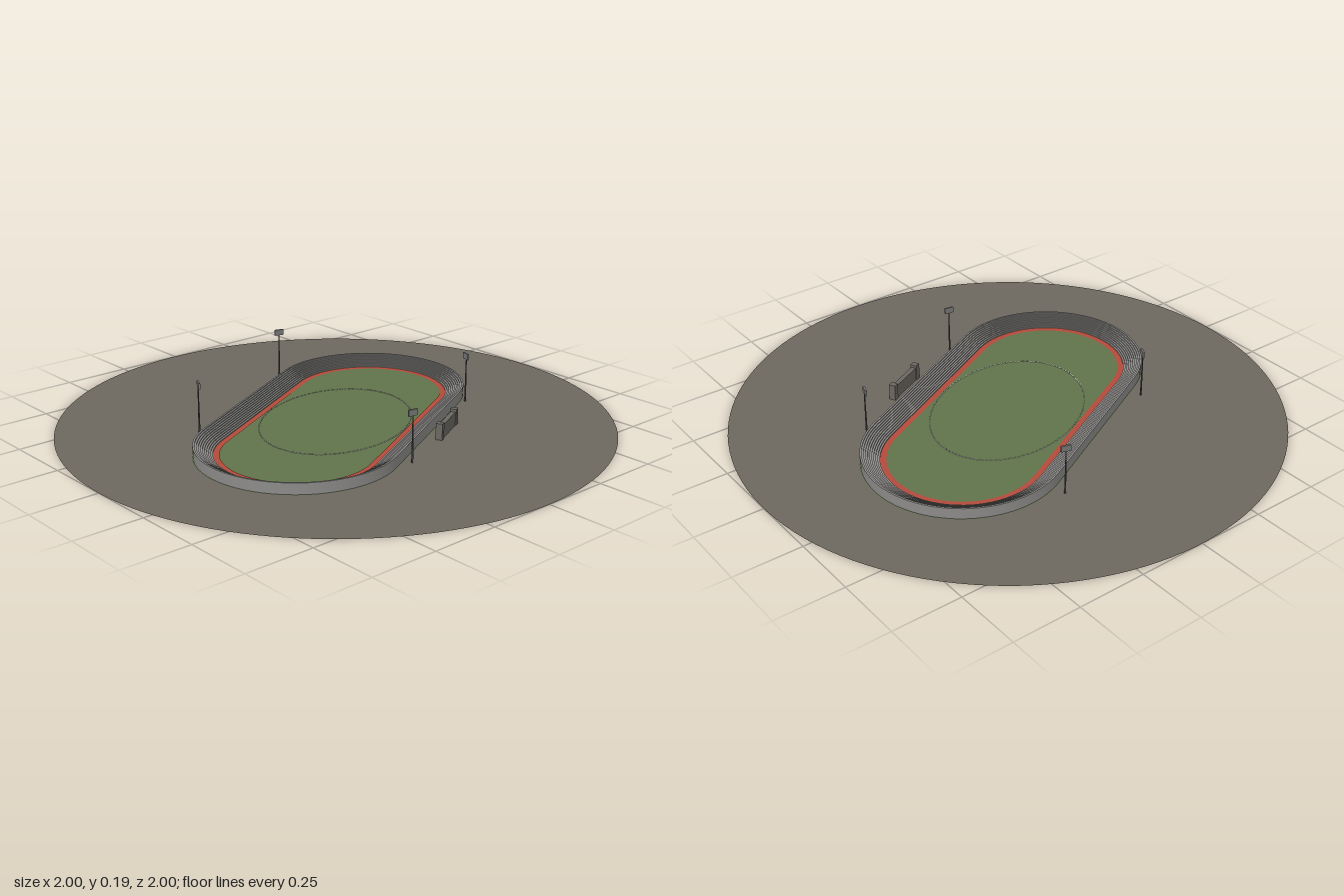
import * as THREE from 'three';

const TILT = 0.4625; // the arena's long axis is turned away from z
const HALF = 0.345; // centre to centre-of-bend distance
const OUTER = 0.355, INNER = 0.287;

const mat = (name, color, side = THREE.FrontSide) => {
  const m = new THREE.MeshStandardMaterial({ color, side });
  m.name = name;
  return m;
};

// Stadium outline (two half circles and two straights) as [x, z] points
function outline(r, n = 32) {
  const pts = [];
  for (const end of [1, -1]) {
    for (let i = 0; i <= n; i++) {
      const a = (i / n) * Math.PI + (end > 0 ? 0 : Math.PI);
      pts.push([r * Math.cos(a), end * HALF + r * Math.sin(a)]);
    }
  }
  return pts;
}

const toVectors = (pts) => pts.map(([x, z]) => new THREE.Vector2(x, -z));

function flat(shape) {
  return new THREE.ShapeGeometry(shape, 64).rotateX(-Math.PI / 2);
}

// Sweep a [radius, height] profile round the outline, with a hard edge at each profile corner
function sweep(profile) {
  const pos = [], index = [];
  for (let j = 0; j < profile.length - 1; j++) {
    const base = pos.length / 3;
    const a = outline(profile[j][0]), b = outline(profile[j + 1][0]);
    const n = a.length;
    for (let i = 0; i < n; i++) {
      pos.push(a[i][0], profile[j][1], a[i][1], b[i][0], profile[j + 1][1], b[i][1]);
      const p = base + 2 * i, q = base + 2 * ((i + 1) % n);
      index.push(p, q, p + 1, q, q + 1, p + 1);
    }
  }
  const g = new THREE.BufferGeometry();
  g.setAttribute('position', new THREE.Float32BufferAttribute(pos, 3));
  g.setIndex(index);
  g.computeVertexNormals();
  return g;
}

export function createModel() {
  const model = new THREE.Group();
  model.name = 'stadium';
  const mats = {
    ground: mat('ground', 0x6e685f, THREE.DoubleSide),
    grass: mat('grass', 0x60744a, THREE.DoubleSide),
    track: mat('track red', 0xb34a3c),
    stand: mat('stand grey', 0x8c8b89),
    white: mat('line white', 0xf0f0ec),
    building: mat('building grey', 0x6c6862),
    pole: mat('pole dark', 0x4a4a4a),
    lamp: mat('lamp grey', 0x777777),
  };
  const add = (parent, name, geometry, material, x = 0, y = 0, z = 0) => {
    const m = new THREE.Mesh(geometry, material);
    m.name = name;
    m.position.set(x, y, z);
    parent.add(m);
    return m;
  };

  const arena = new THREE.Group();
  arena.name = 'arena';
  arena.rotation.y = TILT;
  model.add(arena);

  // Round ground plate with the grass set into it
  const disc = new THREE.Shape().absarc(0, 0, 1, 0, Math.PI * 2);
  disc.holes.push(new THREE.Path(toVectors(outline(OUTER + 0.003))));
  add(arena, 'ground', flat(disc), mats.ground);
  add(arena, 'grass', flat(new THREE.Shape(toVectors(outline(OUTER + 0.003)))), mats.grass);

  // Red running strip at the foot of the stands
  const strip = new THREE.Shape(toVectors(outline(INNER + 0.002)));
  strip.holes.push(new THREE.Path(toVectors(outline(0.265))));
  add(arena, 'track', flat(strip), mats.track, 0, 0.002, 0);

  // Stepped seating bowl
  const rows = 10, profile = [[INNER, 0]];
  for (let i = 0; i < rows; i++) {
    const y = 0.006 + (0.034 * i) / (rows - 1);
    for (const k of [i, i + 1]) profile.push([INNER + ((OUTER - INNER) * k) / rows, y]);
  }
  profile.push([OUTER, 0]);
  add(arena, 'stands', sweep(profile), mats.stand);

  // Dashed oval boundary line
  const boundary = new THREE.Group();
  boundary.name = 'boundaryLine';
  arena.add(boundary);
  const dashes = 110, dash = new THREE.BoxGeometry(0.003, 0.002, 0.01);
  for (let i = 0; i < dashes; i++) {
    const a = (i / dashes) * Math.PI * 2;
    const d = add(boundary, 'dash', dash, mats.white, 0.26 * Math.cos(a), 0.002, 0.349 * Math.sin(a));
    d.rotation.y = Math.atan2(-0.26 * Math.sin(a), 0.349 * Math.cos(a));
  }

  // Pavilion: a long hall between two taller end blocks
  const pavilion = new THREE.Group();
  pavilion.name = 'pavilion';
  pavilion.position.set(0.345, 0, -0.217);
  pavilion.rotation.y = TILT;
  model.add(pavilion);
  add(pavilion, 'hall', new THREE.BoxGeometry(0.018, 0.05, 0.15), mats.building, 0, 0.025, 0);
  for (const s of [1, -1]) {
    add(pavilion, 'endBlock', new THREE.BoxGeometry(0.024, 0.06, 0.022), mats.building, 0, 0.03, s * 0.08);
  }

  // Floodlights, each turned towards the field
  for (const [x, z] of [[0.167, -0.497], [-0.53, -0.17], [0.472, 0.078], [-0.224, 0.443]]) {
    const light = new THREE.Group();
    light.name = 'floodlight';
    light.position.set(x, 0, z);
    light.rotation.y = Math.atan2(-x, -z);
    model.add(light);
    add(light, 'pole', new THREE.CylinderGeometry(0.002, 0.0035, 0.17, 8), mats.pole, 0, 0.085, 0);
    add(light, 'lampPanel', new THREE.BoxGeometry(0.035, 0.022, 0.007), mats.lamp, 0, 0.177, 0.002);
  }
  return model;
}
